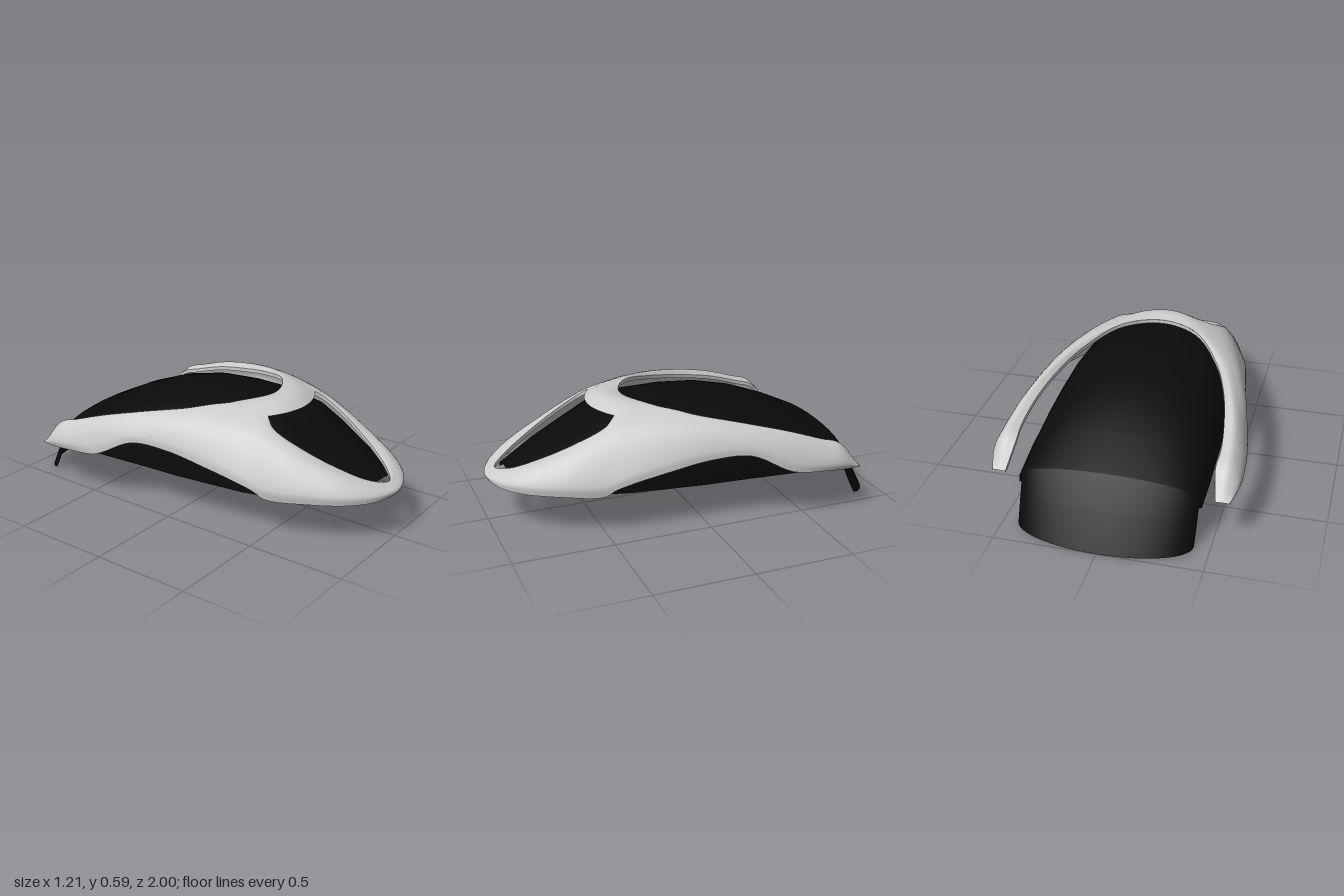
import * as THREE from 'three';
import { mergeGeometries, mergeVertices } from 'three/addons/utils/BufferGeometryUtils.js';

const V = (x, y, z) => new THREE.Vector3(x, y, z);
const spline = (pts) => new THREE.CatmullRomCurve3(pts, false, 'centripetal');

// Surface from a rule f(i, j) over nu x nv cells
function grid(nu, nv, f) {
  const pos = [], idx = [];
  for (let i = 0; i <= nu; i++) for (let j = 0; j <= nv; j++) pos.push(...f(i, j).toArray());
  for (let i = 0; i < nu; i++) for (let j = 0; j < nv; j++) {
    const a = i * (nv + 1) + j, b = a + nv + 1;
    idx.push(a, b, a + 1, b, b + 1, a + 1);
  }
  const g = new THREE.BufferGeometry();
  g.setAttribute('position', new THREE.Float32BufferAttribute(pos, 3));
  g.setIndex(idx);
  return g;
}

// Symmetric rail given from the centre line outwards; s counts its points, negative on the right
function rail(half) {
  const pts = half.map((p) => V(...p)), n = pts.length - 1;
  const mirrored = pts.slice(1).reverse().map((p) => V(-p.x, p.y, p.z));
  const curve = spline([...mirrored, ...pts]);
  return (s) => curve.getPoint((s + n) / (2 * n));
}

// Long rails of the shell, nose first, arm tip last
const bottom = rail([[0, .22, .99], [.13, .22, .96], [.24, .217, .87], [.34, .213, .7], [.405, .21, .52],
  [.43, .25, .455], [.475, .32, .2], [.505, .36, 0], [.542, .365, -.19], [.585, .265, -.4],
  [.595, .245, -.58], [.59, .235, -.68], [.57, .225, -.785]]);
const belt = rail([[0, .245, 1], [.125, .25, .965], [.24, .26, .875], [.345, .265, .7], [.413, .27, .51],
  [.433, .31, .42], [.47, .37, .2], [.503, .4, 0], [.541, .4, -.2], [.585, .31, -.4],
  [.602, .28, -.56], [.6, .265, -.68], [.57, .23, -.785]]);
const shoulder = rail([[0, .265, .97], [.115, .285, .925], [.21, .335, .81], [.29, .39, .64], [.332, .445, .48],
  [.348, .475, .385], [.4, .502, .18], [.46, .487, 0], [.51, .455, -.2], [.56, .39, -.4],
  [.585, .335, -.58], [.585, .31, -.68], [.555, .231, -.786]]);
const ridge = rail([[0, .272, .958], [.095, .297, .9], [.175, .347, .78], [.245, .424, .61], [.265, .495, .46],
  [.262, .53, .38], [.255, .567, .19], [.37, .538, 0], [.452, .5, -.2], [.51, .45, -.4],
  [.535, .39, -.58], [.54, .355, -.68], [.535, .232, -.787]]);
// Edges of the front opening and of the long top opening
const frontEdge = rail([[0, .275, .95], [.085, .295, .89], [.16, .35, .765], [.222, .427, .6], [.242, .5, .45],
  [.21, .54, .395]]);
const topEdge = rail([[0, .575, .29], [.2, .57, .2], [.345, .522, 0], [.423, .477, -.2], [.467, .432, -.4],
  [.487, .375, -.58], [.482, .342, -.68], [.505, .23, -.785]]);

// Inner edge of the shell wall: front opening, end of the bridge, top opening
function inner(s) {
  const a = Math.abs(s), side = Math.sign(s);
  if (a <= 5) return frontEdge(s);
  if (a >= 6) return topEdge(s - 5 * side);
  const p = frontEdge(5 * side).lerp(topEdge(side), a - 5);
  p.y += 0.012 * Math.sin((a - 5) * Math.PI);
  return p;
}

const STEP = 6, N = 12 * STEP;

export function createModel() {
  const model = new THREE.Group();
  const grey = new THREE.MeshStandardMaterial({ color: 0xcccccc, side: THREE.DoubleSide });
  const black = new THREE.MeshStandardMaterial({ color: 0x0a0a0a, side: THREE.DoubleSide });
  const add = (name, geo, mat) => {
    geo.computeVertexNormals();
    const mesh = new THREE.Mesh(geo, mat);
    mesh.name = name;
    model.add(mesh);
  };

  // Side walls, nose and arms
  const sections = Array.from({ length: 2 * N + 1 }, (_, i) =>
    spline([bottom, belt, shoulder, ridge, inner].map((r) => r((i - N) / STEP))));
  const walls = grid(2 * N, 16, (i, j) => sections[i].getPoint(j / 16));

  // Bridge between the two openings; its rear edge follows the top opening
  const crown = spline([V(0, .54, .465), V(0, .58, .41), V(0, .588, .35), V(0, .575, .29)]);
  const bridge = grid(24, STEP, (i, j) => {
    const a = i / 12 - 1;
    if (j === STEP) return topEdge(a);
    const end = inner(5 + j / STEP);
    const p = crown.getPoint(j / STEP).lerp(end, a * a);
    p.x = a * end.x;
    return p;
  });
  add('shell', mergeVertices(mergeGeometries([walls, bridge]), 1e-4), grey);

  // Turned-down lips round the two openings
  const lip = (edge, reach) => grid(2 * reach * STEP, 2, (i, j) => {
    const p = edge(i / STEP - reach);
    p.y = Math.max(p.y - 0.01 * j, 0.225);
    return p;
  });
  add('frontOpeningLip', lip(frontEdge, 5), grey);
  add('topOpeningLip', lip(topEdge, 7), grey);

  // Inner body: arched sections [z, half width, edge height, crown height, edge sweep], with a drooping tail
  const rows = [[.895, .14, .215, .262, 0], [.7, .28, .212, .355, 0], [.5, .375, .21, .45, 0],
    [.38, .4, .207, .52, 0], [.2, .415, .203, .556, 0], [0, .43, .198, .557, 0], [-.2, .432, .193, .54, 0],
    [-.4, .437, .187, .49, 0], [-.6, .442, .182, .41, .01], [-.8, .442, .175, .31, .03],
    [-.803, .428, .172, .307, .03], [-.9, .427, .09, .17, .09], [-1, .425, .01, 0, .15]];
  add('innerBody', grid(28, rows.length - 1, (i, j) => {
    const [z, w, base, top, sweep] = rows[j];
    const t = (i / 28 - 0.5) * Math.PI, c = Math.max(0, Math.cos(t));
    return V(w * Math.sin(t), base + (top - base) * c ** 0.6, z + sweep * (1 - c));
  }), black);

  return model;
}
